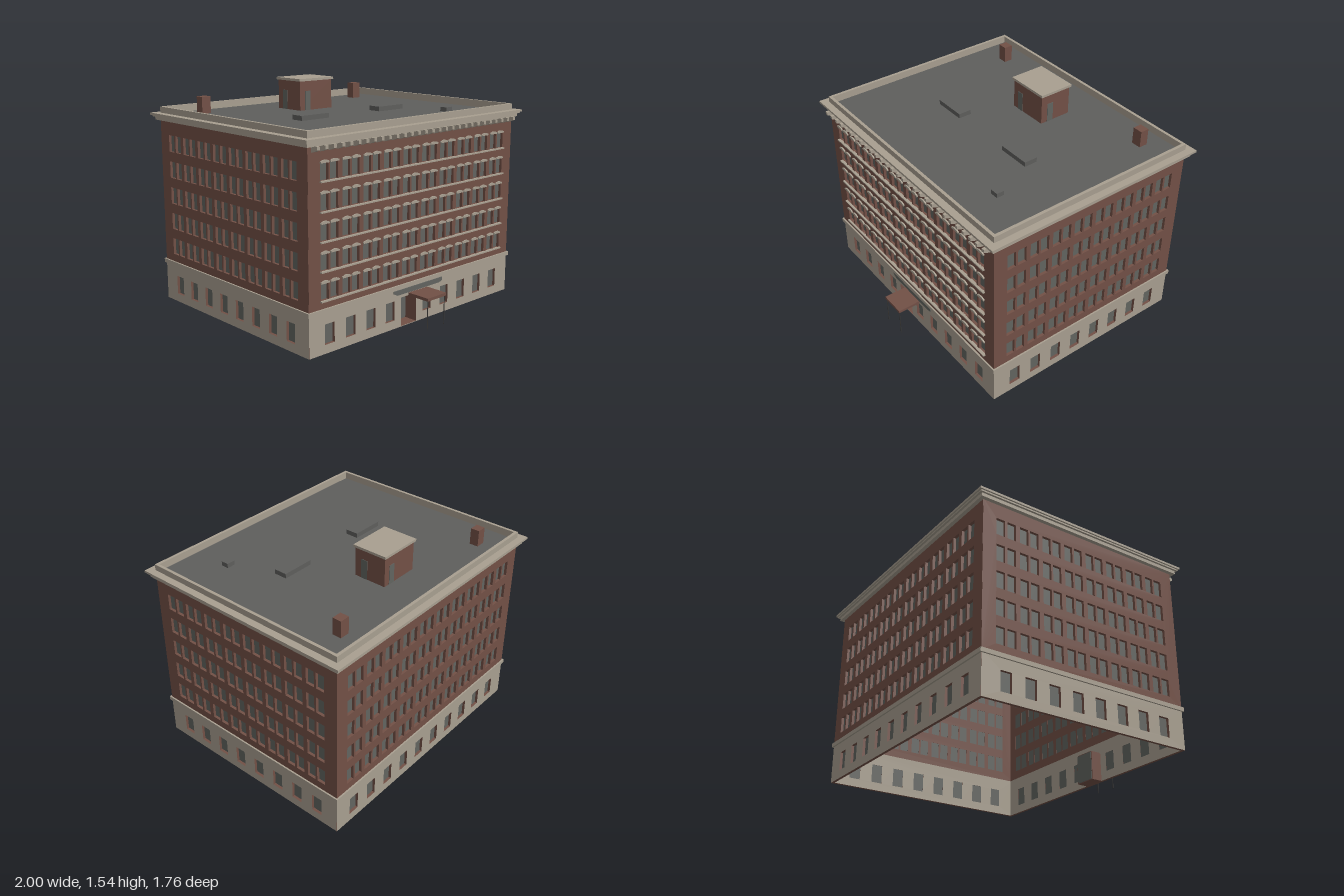
import * as THREE from 'three';
import { mergeGeometries } from 'three/addons/utils/BufferGeometryUtils.js';

const mat = (name, color, side = THREE.FrontSide) => {
  const m = new THREE.MeshStandardMaterial({ color, side });
  m.name = name;
  return m;
};

export function createModel() {
  const brick = mat('brick', 0x725046);
  const stone = mat('stone', 0xa89f90);
  const glass = mat('glass', 0x626460, THREE.DoubleSide);
  const roofing = mat('roofing', 0x5e5e5c, THREE.DoubleSide);
  const iron = mat('iron', 0x3a3836);

  const model = new THREE.Group();
  const CZ = -0.06, HX = 0.95, HZ = 0.77, T = 0.02;

  const add = (parent, name, geo, material) => {
    const m = new THREE.Mesh(geo, material);
    m.name = name;
    parent.add(m);
    return m;
  };
  // Box given by its lower and upper limits
  const boxGeo = (x0, x1, y0, y1, z0, z1) =>
    new THREE.BoxGeometry(x1 - x0, y1 - y0, z1 - z0)
      .translate((x0 + x1) / 2, (y0 + y1) / 2, (z0 + z1) / 2);
  const rect = (P, x0, x1, y0, y1) => {
    const p = new P();
    p.moveTo(x0, y0); p.lineTo(x1, y0); p.lineTo(x1, y1); p.lineTo(x0, y1); p.closePath();
    return p;
  };
  // Rectangular band running round the building
  const ring = (name, out, inn, y0, y1) => {
    const s = rect(THREE.Shape, -HX - out, HX + out, -HZ - out, HZ + out);
    s.holes.push(rect(THREE.Path, -HX + inn, HX - inn, -HZ + inn, HZ - inn));
    const g = new THREE.ExtrudeGeometry(s, { depth: y1 - y0, bevelEnabled: false });
    g.rotateX(-Math.PI / 2).translate(0, y0, CZ);
    add(model, name, g, stone);
  };
  // Flat wall pierced by [x0, x1, y0, y1] openings, outer face at z = 0
  const wall = (parent, name, half, y0, y1, openings, material) => {
    const s = rect(THREE.Shape, -half + 0.001, half - 0.001, y0, y1);
    openings.forEach(o => s.holes.push(rect(THREE.Path, ...o)));
    const g = new THREE.ExtrudeGeometry(s, { depth: T, bevelEnabled: false }).translate(0, 0, -T);
    add(parent, name, g, material);
  };

  const ROWS = [0, 1, 2, 3, 4].map(i => 0.343 + i * 0.1815);
  const WIN_H = 0.114, WIN_W = 0.063, PAIR = 0.039;
  const DOOR = [-0.16, -0.015, 0.004, 0.2];

  // One facade: pierced brick wall over a stone base, with recessed glass
  function facade(name, half, bays, step, isFront) {
    const g = new THREE.Group();
    g.name = name;
    const upper = [], lower = [], centres = [];
    for (let i = 0; i < bays; i++) {
      const c = (i - (bays - 1) / 2) * step;
      centres.push(c);
      if (!(isFront && i === 4)) lower.push([c - 0.04, c + 0.04, 0.058, 0.188]);
      for (const y of ROWS) for (const s of [-PAIR, PAIR])
        upper.push([c + s - WIN_W / 2, c + s + WIN_W / 2, y, y + WIN_H]);
    }
    wall(g, 'brickWall', half, 0.28, 1.29, upper, brick);
    wall(g, 'baseWall', half, 0, 0.28, isFront ? [...lower, DOOR] : lower, [stone, brick]);
    const panes = [...upper, ...lower].map(([x0, x1, y0, y1]) =>
      new THREE.PlaneGeometry(x1 - x0, y1 - y0).translate((x0 + x1) / 2, (y0 + y1) / 2, -T + 0.001));
    add(g, 'windowPanes', mergeGeometries(panes), glass);
    if (isFront) frontTrim(g, centres);
    model.add(g);
    return g;
  }

  // Sills, arched lintels, brackets and entrance of the front
  function frontTrim(g, centres) {
    const cap = new THREE.Shape();
    cap.moveTo(-0.034, 0); cap.lineTo(0.034, 0); cap.lineTo(0.034, 0.009);
    cap.quadraticCurveTo(0, 0.028, -0.034, 0.009);
    const lintel = new THREE.ExtrudeGeometry(cap, { depth: 0.012, bevelEnabled: false, curveSegments: 4 });
    const lintels = [];
    for (const y of ROWS) for (const c of centres) for (const s of [-PAIR, PAIR])
      lintels.push(lintel.clone().translate(c + s, y + WIN_H - 0.009, -0.002));
    add(g, 'lintels', mergeGeometries(lintels), stone);
    add(g, 'sills', mergeGeometries(ROWS.map(y => boxGeo(-0.86, 0.86, y - 0.009, y, -0.005, 0.016))), stone);

    const side = new THREE.Shape();
    side.moveTo(0, 0); side.lineTo(0, -0.04); side.lineTo(0.022, -0.034);
    side.lineTo(0.05, -0.022); side.lineTo(0.05, 0);
    const bracket = new THREE.ExtrudeGeometry(side, { depth: 0.022, bevelEnabled: false })
      .translate(0, 0, -0.011).rotateY(-Math.PI / 2);
    const brackets = [];
    for (let i = 0; i < 29; i++) brackets.push(bracket.clone().translate(-0.91 + i * 0.065, 1.283, 0));
    add(g, 'corniceBrackets', mergeGeometries(brackets), stone);

    // Recessed doorway
    const [x0, x1, y0, y1] = DOOR, D = -0.1;
    add(g, 'doorwayLining', mergeGeometries([
      boxGeo(x0 - 0.006, x0, 0, y1, D, -T), boxGeo(x1, x1 + 0.006, 0, y1, D, -T),
      boxGeo(x0, x1, y1, y1 + 0.006, D, -T), boxGeo(x0, x1, 0, y0, D, -T),
    ]), brick);
    add(g, 'entranceDoor', boxGeo(x0, x1, y0, y1, D - 0.004, D + 0.004), glass);

    // Panel above the entrance
    const p = new THREE.Shape();
    [[-0.2, 0.222], [0.2, 0.222], [0.235, 0.232], [0.235, 0.255], [-0.235, 0.255], [-0.235, 0.24]]
      .forEach(([x, y], i) => (i ? p.lineTo(x, y) : p.moveTo(x, y)));
    add(g, 'entrancePanel', new THREE.ExtrudeGeometry(p, { depth: 0.006, bevelEnabled: false }), glass);

    // Canopy on two posts
    add(g, 'canopy', boxGeo(-0.09, 0.09, 0.197, 0.217, 0, 0.167), brick);
    for (const s of [-1, 1])
      add(g, 'canopyPost', new THREE.CylinderGeometry(0.003, 0.003, 0.2, 8).translate(s * 0.081, 0.1, 0.16), iron);
  }

  facade('frontFacade', HX, 10, 0.1743, true).position.set(0, 0, CZ + HZ);
  const back = facade('backFacade', HX, 10, 0.1743, false);
  back.position.set(0, 0, CZ - HZ);
  back.rotation.y = Math.PI;
  for (const s of [-1, 1]) {
    const f = facade(s > 0 ? 'leftFacade' : 'rightFacade', HZ, 8, 0.172, false);
    f.position.set(s * HX, 0, CZ);
    f.rotation.y = s * Math.PI / 2;
  }

  // Belt course, stepped cornice and parapet
  ring('beltCourse', 0.011, 0.01, 0.262, 0.29);
  ring('lowerCornice', 0.026, 0.01, 1.28, 1.303);
  ring('middleCornice', 0.04, 0.01, 1.303, 1.313);
  ring('upperCornice', 0.05, 0.01, 1.313, 1.328);
  ring('parapet', 0, 0.021, 1.285, 1.37);

  // Roof deck and low roof boxes
  add(model, 'roofDeck', boxGeo(-0.935, 0.935, 1.31, 1.32, CZ - 0.755, CZ + 0.755), roofing);
  add(model, 'rightSkylight', boxGeo(-0.475, -0.24, 1.32, 1.352, 0.01, 0.105), roofing);
  add(model, 'leftSkylight', boxGeo(0.235, 0.47, 1.32, 1.352, 0.01, 0.105), roofing);
  add(model, 'roofHatch', boxGeo(0.56, 0.62, 1.32, 1.35, 0.385, 0.44), roofing);

  // Chimneys
  for (const s of [-1, 1])
    add(model, 'chimney', boxGeo(-0.035, 0.035, 1.32, 1.436, -0.685, -0.622).translate(s * 0.712, 0, 0), brick);

  // Rooftop stair house with a door on each face
  const house = new THREE.Group();
  house.name = 'stairHouse';
  house.position.set(-0.002, 1.32, -0.412);
  add(house, 'stairHouseWalls', boxGeo(-0.147, 0.147, 0, 0.205, -0.118, 0.118), brick);
  add(house, 'stairHouseCap', boxGeo(-0.158, 0.158, 0.205, 0.222, -0.128, 0.128), stone);
  for (let i = 0; i < 4; i++) {
    const wide = i % 2 === 0, c = wide ? -0.078 : -0.045, d = wide ? 0.118 : 0.147;
    add(house, 'stairHouseDoor', boxGeo(c - 0.024, c + 0.024, 0, 0.135, d - 0.002, d + 0.003), glass)
      .rotation.y = i * Math.PI / 2;
  }
  model.add(house);
  return model;
}
